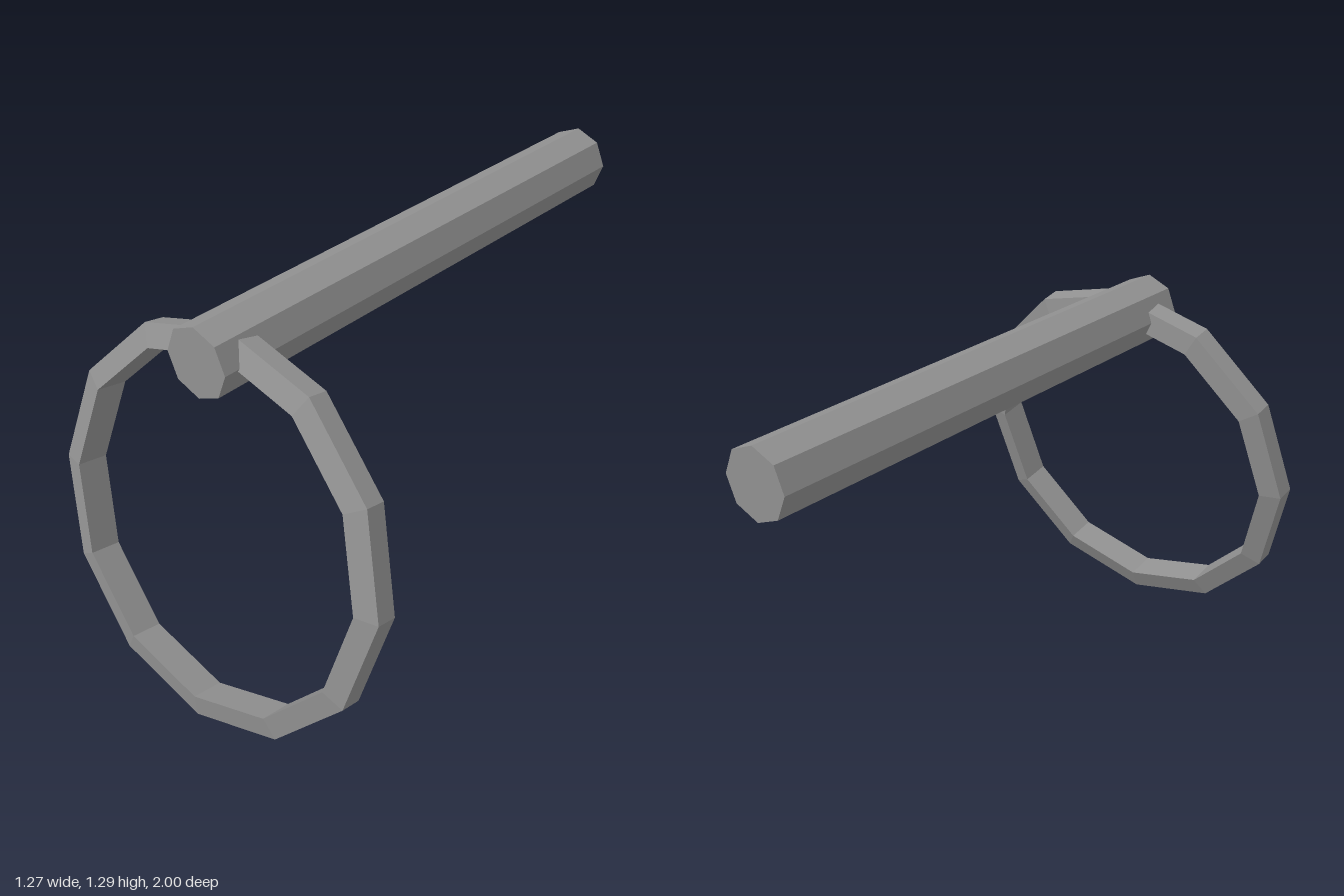
import * as THREE from 'three';

export function createModel() {
  const group = new THREE.Group();
  const material = new THREE.MeshStandardMaterial({ color: 0x919191, flatShading: true });

  const add = (name, geometry, x, y, z) => {
    const mesh = new THREE.Mesh(geometry, material);
    mesh.name = name;
    mesh.position.set(x, y, z);
    group.add(mesh);
    return mesh;
  };

  // Eight-sided rod running front to back, slightly off centre
  const rodLength = 1.847;
  add('rod', new THREE.CylinderGeometry(0.112, 0.112, rodLength, 8).rotateX(Math.PI / 2),
    -0.033, 1.175, -1 + rodLength / 2);

  // Twelve-sided ring: tapered section, wide inside and narrow outside
  const outer = 0.633, inner = 0.56, outerHalf = 0.034, innerHalf = 0.053;
  const section = [
    [outer, -outerHalf], [outer, outerHalf],
    [inner, innerHalf], [inner, -innerHalf], [outer, -outerHalf],
  ].map(([r, h]) => new THREE.Vector2(r, h));
  const ring = add('ring', new THREE.LatheGeometry(section, 12).rotateX(Math.PI / 2), 0, 0.628, 0.845);
  ring.rotation.x = -0.187; // hangs tilted, bottom swung forward

  return group;
}
